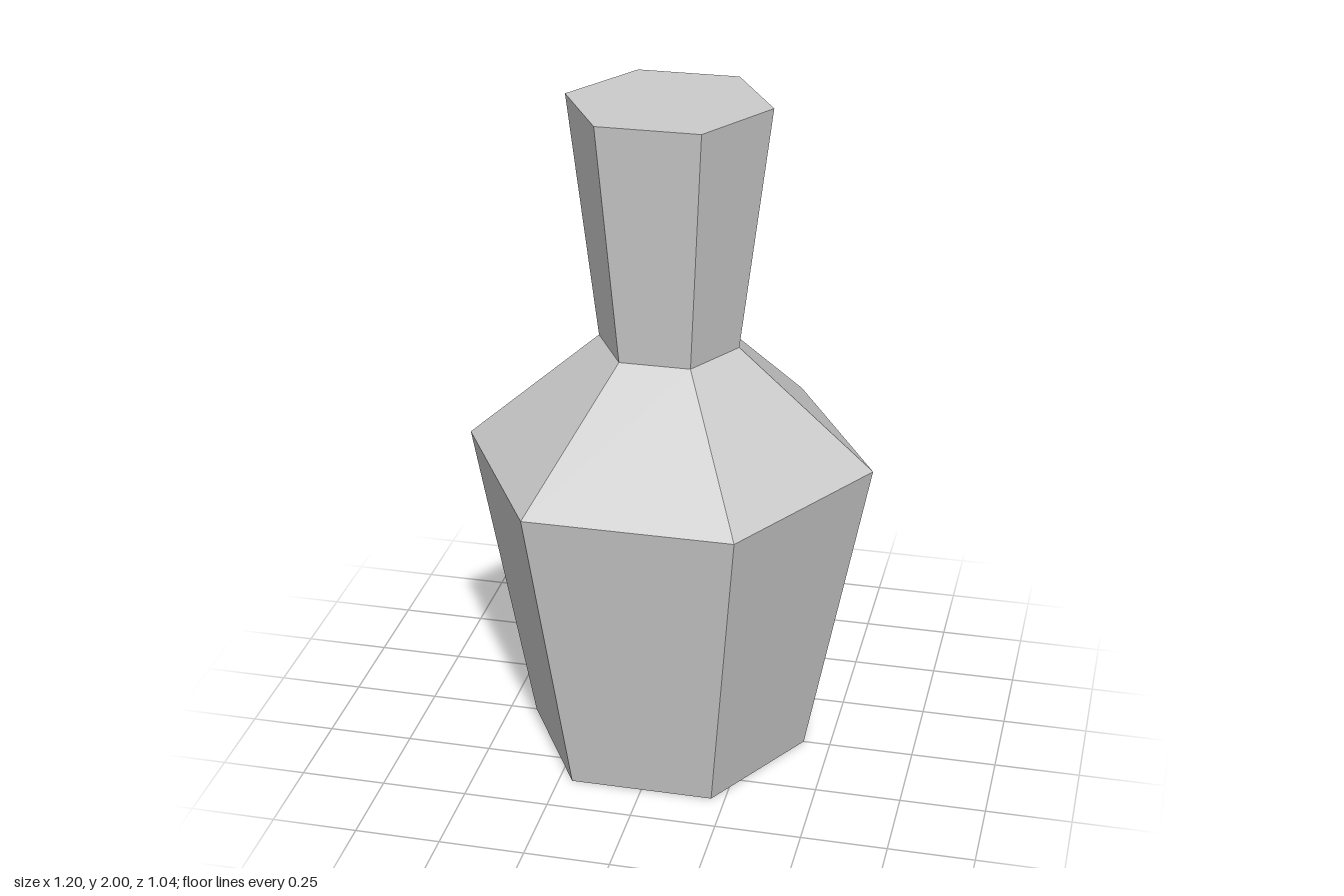
import * as THREE from 'three';

const SIDES = 6;
const material = new THREE.MeshStandardMaterial({ color: 0xcccccc, flatShading: true });

// Profile rings from the floor up: radius to a corner, height
const BASE = { r: 0.42, y: 0 };
const SHOULDER = { r: 0.6, y: 0.935 };
const NECK = { r: 0.205, y: 1.285 };
const RIM = { r: 0.293, y: 2 };

function addPart(group, name, geometry, y) {
  const mesh = new THREE.Mesh(geometry, material);
  mesh.name = name;
  mesh.position.y = y;
  group.add(mesh);
}

// Open six-sided wall between two rings, corners on the x axis
function addWall(group, name, low, high) {
  const wall = new THREE.CylinderGeometry(
    high.r, low.r, high.y - low.y, SIDES, 1, true, Math.PI / 2);
  addPart(group, name, wall, (low.y + high.y) / 2);
}

// Flat hexagon closing one end, facing up (1) or down (-1)
function addCap(group, name, ring, facing) {
  const cap = new THREE.CircleGeometry(ring.r, SIDES).rotateX(-facing * Math.PI / 2);
  addPart(group, name, cap, ring.y);
}

export function createModel() {
  const bottle = new THREE.Group();
  bottle.name = 'bottle';

  addCap(bottle, 'bottom', BASE, -1);
  addWall(bottle, 'body', BASE, SHOULDER);
  addWall(bottle, 'shoulder', SHOULDER, NECK);
  addWall(bottle, 'neck', NECK, RIM);
  addCap(bottle, 'top', RIM, 1);

  return bottle;
}
